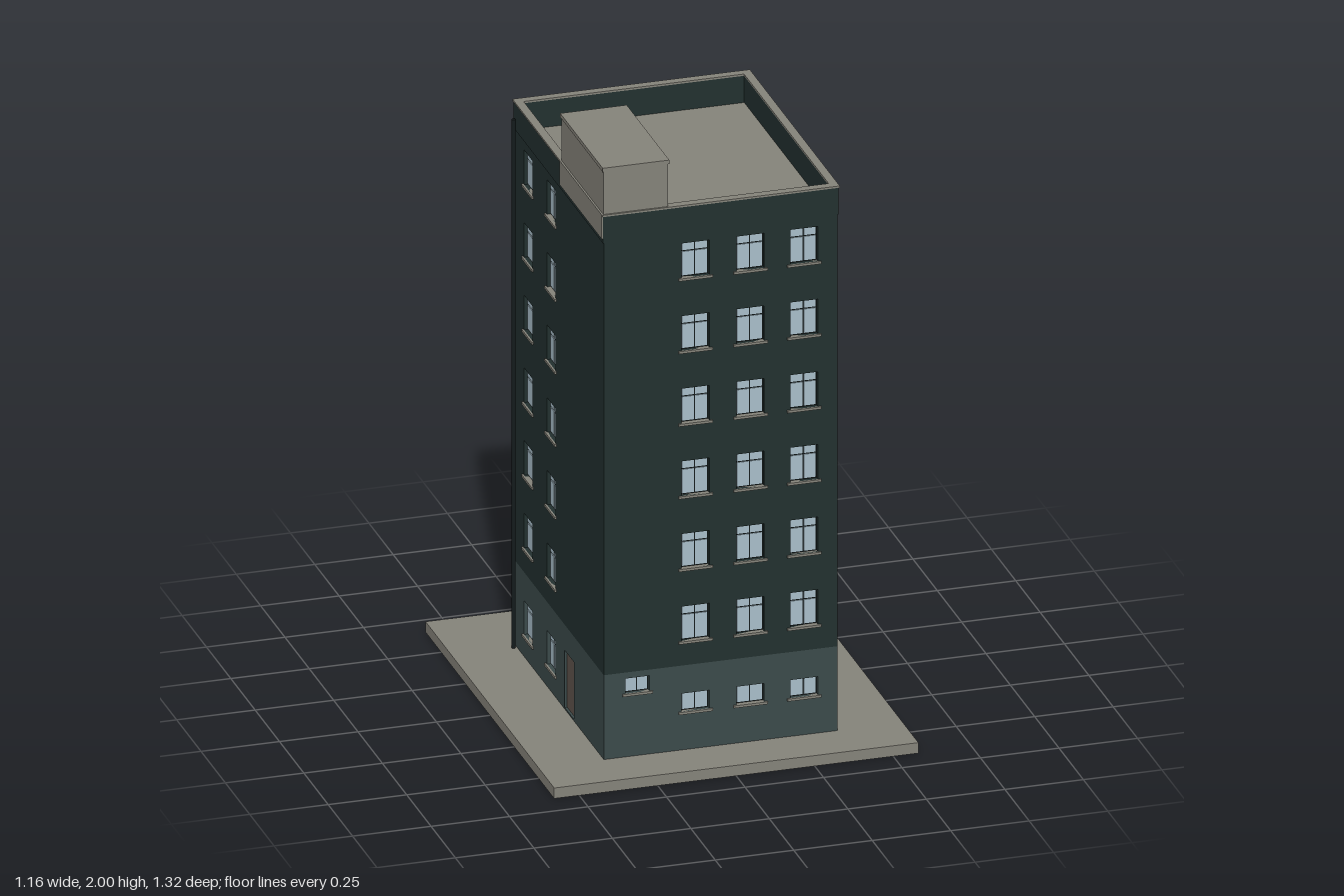
import * as THREE from 'three';
import { mergeGeometries } from 'three/addons/utils/BufferGeometryUtils.js';

const material = (name, color) => {
  const m = new THREE.MeshStandardMaterial({ color });
  m.name = name;
  return m;
};

const mats = {
  wall: material('dark wall', 0x22302f),
  base: material('slate base', 0x3b4a4a),
  stone: material('warm grey stone', 0x85837a),
  glass: material('pale glass', 0xa9bfca),
  frame: material('near black frame', 0x141b1c),
  door: material('brown door', 0x5f544c),
  neon: material('cyan light', 0x18b4cc),
};

const HW = 0.372, HD = 0.457, CZ = 0.042; // wall half width, half depth, centre z
const GROUND = 0.035, BAND = 0.315, WALL_TOP = 1.77, ROOF = 1.75, TOP = 1.845;

// Box given by its two corners
function boxGeo(x0, x1, y0, y1, z0, z1) {
  return new THREE.BoxGeometry(x1 - x0, y1 - y0, z1 - z0)
    .translate((x0 + x1) / 2, (y0 + y1) / 2, (z0 + z1) / 2);
}

function add(parent, name, geo, mat) {
  const mesh = new THREE.Mesh(geo, mat);
  mesh.name = name;
  parent.add(mesh);
  return mesh;
}

function rectPath(P, x0, x1, y0, y1) {
  const p = new P();
  p.moveTo(x0, y0);
  p.lineTo(x1, y0);
  p.lineTo(x1, y1);
  p.lineTo(x0, y1);
  p.closePath();
  return p;
}

// Wall sheet with rectangular openings, outer surface at local z = 0
function wallSheet(half, y0, y1, openings) {
  const shape = rectPath(THREE.Shape, -half, half, y0, y1);
  for (const o of openings) {
    shape.holes.push(rectPath(THREE.Path, o.u - o.w / 2, o.u + o.w / 2, o.y, o.y + o.h));
  }
  return new THREE.ExtrudeGeometry(shape, { depth: 0.02, bevelEnabled: false }).translate(0, 0, -0.02);
}

// One side of the building: two wall bands, glazing, frames and sills
function facade(parent, name, half, openings) {
  const g = new THREE.Group();
  g.name = name;
  parent.add(g);
  add(g, 'upperWall', wallSheet(half, BAND, WALL_TOP, openings.filter(o => o.y > BAND)), mats.wall);
  add(g, 'baseWall', wallSheet(half, GROUND, BAND, openings.filter(o => o.y < BAND)), mats.base);
  const glass = [], frames = [], sills = [], doors = [];
  for (const o of openings) {
    const l = o.u - o.w / 2, r = o.u + o.w / 2, top = o.y + o.h, e = 0.004;
    if (o.solid) {
      doors.push(boxGeo(l, r, o.y, top, -0.018, -0.008));
      continue;
    }
    frames.push(boxGeo(l, r, o.y, top, -0.02, -0.013));
    const step = (o.w - e) / o.cols;
    const rows = o.transom ? [[0, 0.74], [0.78, 1]] : [[0, 1]];
    for (let c = 0; c < o.cols; c++) {
      for (const [a, b] of rows) {
        const x = l + e + c * step, h = o.h - 2 * e;
        glass.push(boxGeo(x, x + step - e, o.y + e + a * h, o.y + e + b * h, -0.013, -0.01));
      }
    }
    if (o.sill) sills.push(boxGeo(l - 0.01, r + 0.01, o.y - 0.008, o.y, -0.012, 0.006));
  }
  add(g, 'windowFrames', mergeGeometries(frames), mats.frame);
  add(g, 'windowPanes', mergeGeometries(glass), mats.glass);
  add(g, 'windowSills', mergeGeometries(sills), mats.stone);
  if (doors.length) add(g, 'sideDoor', mergeGeometries(doors), mats.door);
  return g;
}

// Regular grid of upper windows; ground adds the matching ground floor row
function windowGrid(columns, w, cols, ground) {
  const list = [];
  for (const u of columns) {
    for (let i = 0; i < 6; i++) {
      list.push({ u, y: 0.396 + i * 0.2412, w, h: 0.115, cols, transom: true, sill: true });
    }
    if (ground) list.push({ u, y: 0.108, w, h: 0.112, cols, transom: true, sill: true });
  }
  return list;
}

// Flat rectangular ring lying around the roof
function ring(outX, outZ, inX, inZ, y0, y1) {
  const s = rectPath(THREE.Shape, -outX, outX, -outZ, outZ);
  s.holes.push(rectPath(THREE.Path, -inX, inX, -inZ, inZ));
  return new THREE.ExtrudeGeometry(s, { depth: y1 - y0, bevelEnabled: false })
    .rotateX(-Math.PI / 2).translate(0, y0, CZ);
}

export function createModel() {
  const model = new THREE.Group();
  model.name = 'cityBuilding';

  add(model, 'pavement', boxGeo(-0.58, 0.58, 0, GROUND, -0.66, 0.66), mats.stone);

  // Front: three columns and small ground floor windows
  const frontCols = [-0.08, 0.095, 0.266];
  const front = facade(model, 'frontFacade', HW, [
    ...windowGrid(frontCols, 0.088, 2, false),
    ...frontCols.map(u => ({ u, y: 0.162, w: 0.088, h: 0.06, cols: 2, sill: true })),
    { u: -0.265, y: 0.245, w: 0.076, h: 0.05, cols: 2, sill: true },
  ]);
  front.position.z = CZ + HD;

  // Two sides
  const sideHalf = HD - 0.02;
  const left = facade(model, 'leftFacade', sideHalf,
    windowGrid([-0.345, 0.04, 0.275].map(u => u + CZ), 0.088, 2, true));
  left.rotation.y = Math.PI / 2;
  left.position.set(HW, 0, CZ);
  const right = facade(model, 'rightFacade', sideHalf, [
    ...windowGrid([-0.275, -0.04].map(u => u - CZ), 0.088, 2, true),
    { u: 0.145 - CZ, y: 0.04, w: 0.095, h: 0.19, solid: true },
  ]);
  right.rotation.y = -Math.PI / 2;
  right.position.set(-HW, 0, CZ);

  // Back: four columns above a glazed shop front
  const shop = [[-0.325, -0.258], [-0.135, -0.04], [-0.03, 0.09], [0.1, 0.205], [0.215, 0.328]];
  const back = facade(model, 'backFacade', HW, [
    ...windowGrid([-0.266, -0.088, 0.09, 0.268], 0.108, 3, false),
    ...shop.map(([a, b]) => ({ u: (a + b) / 2, y: 0.058, w: b - a, h: 0.225, cols: 1 })),
    { u: -0.194, y: 0.038, w: 0.09, h: 0.22, cols: 1 },
  ]);
  back.rotation.y = Math.PI;
  back.position.z = CZ - HD;
  add(back, 'shopSignBoard', boxGeo(-0.24, 0.04, 0.284, 0.318, 0, 0.009), mats.frame);
  add(back, 'shopDoorHandle', boxGeo(-0.166, -0.162, 0.12, 0.17, -0.01, -0.002), mats.frame);

  // Roof deck, parapet and coping
  add(model, 'roofDeck', boxGeo(-0.355, 0.355, ROOF - 0.02, ROOF, CZ - 0.44, CZ + 0.44), mats.stone);
  add(model, 'parapet', ring(0.375, HD + 0.003, 0.352, HD - 0.022, WALL_TOP - 0.02, TOP - 0.006), mats.wall);
  add(model, 'parapetCoping', ring(0.378, HD + 0.005, 0.351, HD - 0.023, TOP - 0.006, TOP), mats.stone);

  // Stair house on the roof corner
  const house = new THREE.Group();
  house.name = 'stairHouse';
  model.add(house);
  add(house, 'stairHouseWalls', boxGeo(-0.373, -0.167, ROOF, 1.987, 0.067, 0.498), mats.stone);
  add(house, 'stairHouseCap', boxGeo(-0.376, -0.164, 1.987, 2, 0.064, 0.501), mats.stone);
  add(house, 'stairHouseOuterPanel', boxGeo(-0.379, -0.37, 1.765, TOP, 0.067, 0.499), mats.stone);
  add(house, 'stairHouseDoor', boxGeo(-0.168, -0.163, ROOF, 1.945, 0.098, 0.178), mats.base);

  // Drain pipe by the back corner
  add(model, 'drainPipe', new THREE.CylinderGeometry(0.006, 0.006, 1.755, 10)
    .translate(-0.383, 0.9125, -0.392), mats.frame);

  // Blade sign with plain lit bars on both faces and a lit rim
  const sign = new THREE.Group();
  sign.name = 'bladeSign';
  model.add(sign);
  add(sign, 'signPanel', boxGeo(0.341, 0.351, 0.317, 0.515, -0.496, -0.449), mats.frame);
  const bars = [];
  for (let i = 0; i < 5; i++) {
    const y = 0.352 + i * 0.026;
    bars.push(boxGeo(0.339, 0.353, y, y + 0.016, -0.484, -0.461));
  }
  add(sign, 'signLightBars', mergeGeometries(bars), mats.neon);

  return model;
}
